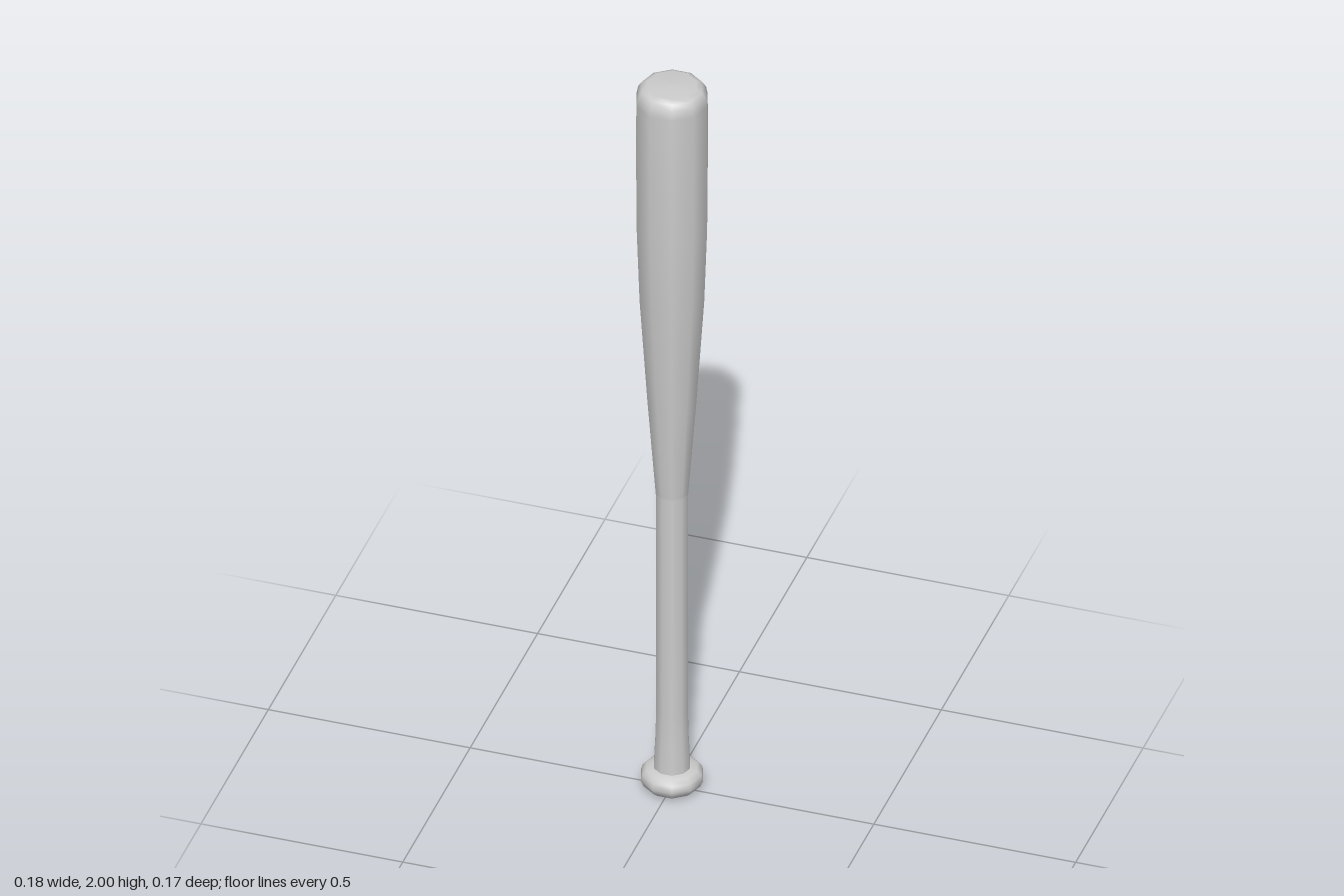
import * as THREE from 'three';

const SIDES = 10;
const START = Math.PI / 10; // puts a corner on +x and -x

export function createModel() {
  const group = new THREE.Group();
  group.name = 'bat';
  const material = new THREE.MeshStandardMaterial({ color: 0xcccccc });

  // Turned part from [radius, height] pairs, listed bottom to top
  const turn = (name, profile) => {
    const points = profile.map(([r, y]) => new THREE.Vector2(r, y));
    const mesh = new THREE.Mesh(new THREE.LatheGeometry(points, SIDES, START), material);
    mesh.name = name;
    group.add(mesh);
  };

  // Flat underside and rounded rim of the knob
  turn('knobBase', [[0, 0], [0.058, 0.004]]);
  turn('knob', [[0.058, 0.004], [0.07, 0.014], [0.077, 0.03], [0.073, 0.046], [0.062, 0.056], [0.044, 0.06]]);

  // Slim grip that flares slightly into the knob
  turn('handle', [[0.045, 0.058], [0.041, 0.14], [0.039, 0.22], [0.039, 0.5], [0.04, 0.84]]);

  // Tapered barrel with a rounded tip
  turn('barrel', [
    [0.04, 0.84], [0.06, 1.1], [0.08, 1.4], [0.087, 1.6], [0.0885, 1.8],
    [0.088, 1.955], [0.084, 1.977], [0.075, 1.991], [0.06, 1.998], [0, 2],
  ]);

  return group;
}
